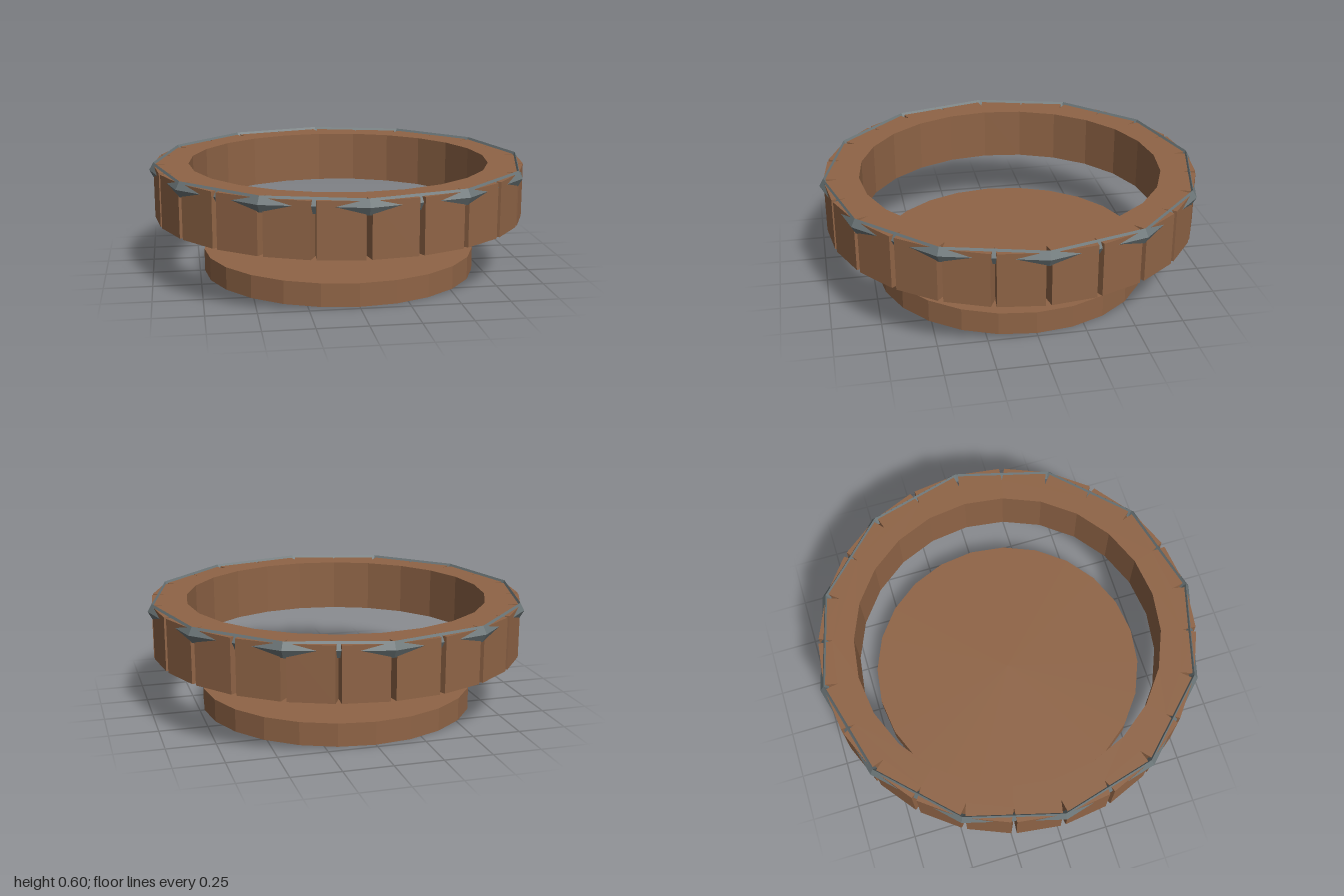
import * as THREE from 'three';

const SIDES = 24;

export function createModel() {
  const wood = new THREE.MeshStandardMaterial({ name: 'brown wood', color: 0x8f6446, flatShading: true });
  const metal = new THREE.MeshStandardMaterial({ name: 'grey metal', color: 0x6b7577, flatShading: true });
  const model = new THREE.Group();
  model.name = 'bucketRings';

  const add = (name, geometry, material) => {
    const mesh = new THREE.Mesh(geometry, material);
    mesh.name = name;
    model.add(mesh);
    return mesh;
  };
  const polar = (r, a) => new THREE.Vector2(r * Math.cos(a), r * Math.sin(a));

  // Base disc
  const baseHeight = 0.12;
  add('baseDisc', new THREE.CylinderGeometry(0.725, 0.725, baseHeight, SIDES), wood)
    .position.y = baseHeight / 2;

  // Stave ring: faceted wall with a V groove at every corner
  const outer = 0.979, inner = 0.795, grooveRoot = 0.905, grooveHalf = 0.014;
  const halfAngle = grooveHalf / outer;
  const cornerRadius = outer - grooveHalf * Math.tan(Math.PI / SIDES);
  const outline = [], opening = [];
  for (let i = 0; i < SIDES; i++) {
    const a = (i / SIDES) * Math.PI * 2;
    outline.push(polar(cornerRadius, a - halfAngle), polar(grooveRoot, a), polar(cornerRadius, a + halfAngle));
    opening.push(polar(inner, -a));
  }
  const ringShape = new THREE.Shape(outline);
  ringShape.holes.push(new THREE.Path(opening));
  const ringBottom = 0.31, ringTop = 0.588;
  const ring = new THREE.ExtrudeGeometry(ringShape, { depth: ringTop - ringBottom, bevelEnabled: false });
  ring.rotateX(-Math.PI / 2);
  add('staveRing', ring, wood).position.y = ringBottom;

  // Twelve-sided hoop whose corners poke out through the staves
  const hoopProfile = [[0.978, 0.52], [1.0, 0.56], [0.978, 0.6], [0.955, 0.56], [0.978, 0.52]]
    .map(([r, y]) => new THREE.Vector2(r, y));
  add('metalHoop', new THREE.LatheGeometry(hoopProfile, 12), metal);

  return model;
}
